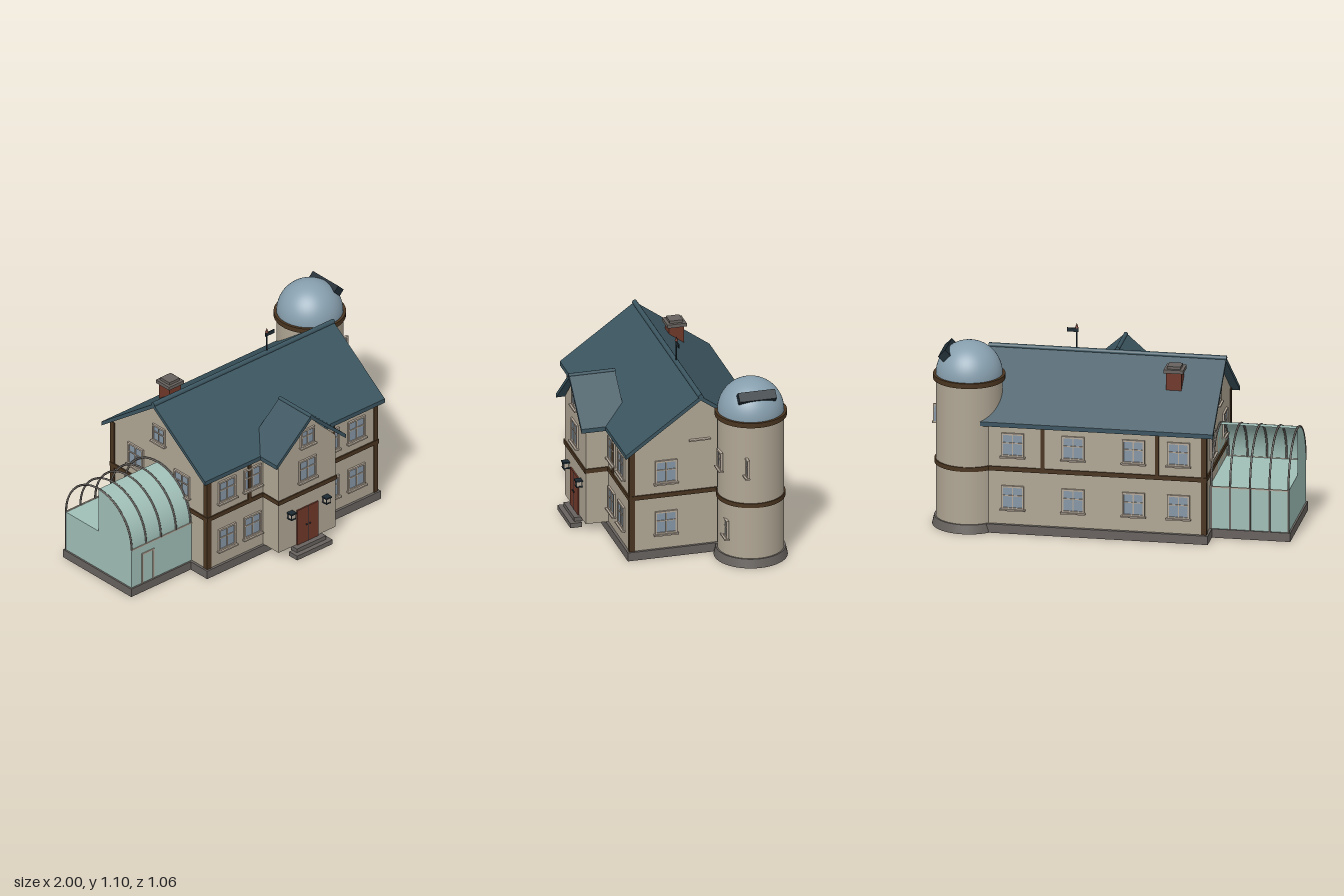
import * as THREE from 'three';

const material = (name, color, side = THREE.FrontSide) => {
  const m = new THREE.MeshStandardMaterial({ color, side });
  m.name = name;
  return m;
};
const plaster = material('plaster', 0xb0a694);
const slate = material('roof slate', 0x3b5560);
const timber = material('timber', 0x4a3520);
const stone = material('stone', 0x67625e);
const brick = material('red brown', 0x70382a);
const pane = material('window pane', 0x8697a6);
const trim = material('window trim', 0xb5a99a);
const glass = material('greenhouse glass', 0xa0bfb7, THREE.DoubleSide);
const domeMetal = material('dome metal', 0x879fae);
const iron = material('dark iron', 0x1d2a32);

function add(parent, name, geometry, mat, x = 0, y = 0, z = 0) {
  const mesh = new THREE.Mesh(geometry, mat);
  mesh.name = name;
  mesh.position.set(x, y, z);
  parent.add(mesh);
  return mesh;
}

// Box given by its minimum and maximum on each axis
function box(parent, name, mat, x0, x1, y0, y1, z0, z1) {
  return add(parent, name, new THREE.BoxGeometry(x1 - x0, y1 - y0, z1 - z0), mat,
    (x0 + x1) / 2, (y0 + y1) / 2, (z0 + z1) / 2);
}

function cylinder(parent, name, mat, rTop, rBottom, y0, y1, x, z, sides = 48) {
  return add(parent, name, new THREE.CylinderGeometry(rTop, rBottom, y1 - y0, sides), mat, x, (y0 + y1) / 2, z);
}

// Polygon in x,y pushed along z
function prism(points, depth) {
  const shape = new THREE.Shape(points.map(([x, y]) => new THREE.Vector2(x, y)));
  return new THREE.ExtrudeGeometry(shape, { depth, bevelEnabled: false });
}

// Gabled roof sheet with its ridge along z
function roofSheet(half, eave, apex, thick, depth) {
  return prism([[-half, eave], [0, apex - thick], [half, eave],
    [half, eave + thick], [0, apex], [-half, eave + thick]], depth);
}

// Paned window on a wall; y is the lower edge, turn is the wall's direction
function windowUnit(parent, x, y, z, turn = 0, w = 0.125, h = 0.135) {
  const g = new THREE.Group();
  g.name = 'window';
  g.position.set(x, y, z);
  g.rotation.y = turn;
  parent.add(g);
  const a = w / 2, t = 0.01, d = 0.011;
  box(g, 'pane', pane, -a + t / 2, a - t / 2, t / 2, h - t / 2, -0.004, 0.004);
  for (const s of [-1, 1]) box(g, 'frameSide', trim, s * (a - t / 2) - t / 2, s * (a - t / 2) + t / 2, 0, h, -0.004, d);
  box(g, 'frameTop', trim, -a, a, h - t, h, -0.004, d);
  box(g, 'frameBottom', trim, -a, a, 0, t, -0.004, d);
  box(g, 'mullion', trim, -0.003, 0.003, t, h - t, 0, d - 0.002);
  box(g, 'crossBar', trim, -a + t, a - t, h * 0.58 - 0.003, h * 0.58 + 0.003, 0, d - 0.002);
  box(g, 'sill', trim, -a - 0.007, a + 0.007, -0.007, 0.001, -0.004, 0.022);
}

function buildHouse(root) {
  const g = new THREE.Group();
  g.name = 'house';
  root.add(g);
  box(g, 'foundation', stone, -0.565, 0.705, 0, 0.05, -0.475, 0.35);
  box(g, 'walls', plaster, -0.55, 0.69, 0.05, 0.645, -0.455, 0.335);
  const gable = add(g, 'gableWalls', prism([[-0.395, 0.64], [0.395, 0.64], [0, 0.925]], 1.24), plaster, -0.55, 0, -0.06);
  gable.rotation.y = Math.PI / 2;
  const roof = add(g, 'mainRoof', roofSheet(0.425, 0.615, 0.945, 0.025, 1.315), slate, -0.595, 0, -0.06);
  roof.rotation.y = Math.PI / 2;
  const ridge = add(g, 'ridgeCap', new THREE.CylinderGeometry(0.014, 0.014, 1.32, 12), slate, 0.0625, 0.942, -0.06);
  ridge.rotation.z = Math.PI / 2;

  // Timber frame
  box(g, 'floorBand', timber, -0.558, 0.698, 0.355, 0.38, -0.463, 0.343);
  for (const x of [-0.54, 0.68])
    for (const z of [-0.443, 0.323]) box(g, 'cornerPost', timber, x - 0.015, x + 0.015, 0.05, 0.64, z - 0.016, z + 0.016);
  for (const x of [-0.245, 0.365]) box(g, 'frontPost', timber, x - 0.011, x + 0.011, 0.38, 0.63, 0.33, 0.342);
  for (const x of [-0.28, 0.355]) box(g, 'backPost', timber, x - 0.011, x + 0.011, 0.38, 0.63, -0.462, -0.45);

  // Windows on both floors
  for (const y of [0.137, 0.44]) {
    for (const x of [-0.41, -0.225, 0.345, 0.535]) windowUnit(g, x, y, 0.335);
    for (const x of [-0.4, -0.15, 0.185, 0.52]) windowUnit(g, x, y, -0.455, Math.PI);
    windowUnit(g, 0.69, y, 0.13, Math.PI / 2);
  }
  for (const z of [-0.25, 0.13]) windowUnit(g, -0.55, 0.44, z, -Math.PI / 2);
  windowUnit(g, -0.55, 0.68, -0.06, -Math.PI / 2, 0.1, 0.105);
  box(g, 'gableSill', trim, 0.685, 0.71, 0.674, 0.681, -0.12, 0);

  // Chimney
  box(g, 'chimney', brick, -0.38, -0.295, 0.7, 0.91, -0.255, -0.17);
  box(g, 'chimneyCap', stone, -0.392, -0.283, 0.905, 0.925, -0.267, -0.158);
  box(g, 'chimneyPot', stone, -0.375, -0.3, 0.925, 0.94, -0.25, -0.175);

  // Weather vane
  cylinder(g, 'vanePole', iron, 0.004, 0.004, 0.94, 1.075, 0.235, -0.06, 8);
  cylinder(g, 'vaneTip', brick, 0, 0.01, 1.068, 1.096, 0.235, -0.06, 8);
  box(g, 'vaneFlag', iron, 0.225, 0.29, 1.045, 1.067, -0.063, -0.057);
}

function buildEntrance(root) {
  const g = new THREE.Group();
  g.name = 'entranceBay';
  g.position.x = 0.0625;
  root.add(g);
  box(g, 'bayWalls', plaster, -0.2075, 0.2075, 0.05, 0.64, 0.3, 0.465);
  add(g, 'bayGable', prism([[-0.2075, 0.638], [0.2075, 0.638], [0, 0.842]], 0.165), plaster, 0, 0, 0.3);
  add(g, 'bayRoof', roofSheet(0.2525, 0.615, 0.863, 0.025, 0.26), slate, 0, 0, 0.242);
  const cap = add(g, 'bayRidge', new THREE.CylinderGeometry(0.011, 0.011, 0.265, 12), slate, 0, 0.856, 0.3725);
  cap.rotation.x = Math.PI / 2;
  box(g, 'bayBand', timber, -0.214, 0.214, 0.355, 0.38, 0.3, 0.472);
  windowUnit(g, 0, 0.44, 0.465);
  windowUnit(g, 0, 0.66, 0.465, 0, 0.1, 0.105);

  // Double door
  box(g, 'door', brick, -0.077, 0.077, 0.05, 0.27, 0.46, 0.473);
  box(g, 'doorGap', iron, -0.0015, 0.0015, 0.05, 0.27, 0.47, 0.4745);
  for (const s of [-1, 1]) add(g, 'doorKnob', new THREE.SphereGeometry(0.005, 10, 8), iron, s * 0.012, 0.16, 0.478);
  box(g, 'lowerStep', stone, -0.13, 0.13, 0, 0.027, 0.465, 0.53);
  box(g, 'upperStep', stone, -0.107, 0.107, 0.025, 0.05, 0.455, 0.502);

  // Wall lamps
  for (const s of [-1, 1]) {
    const x = s * 0.128;
    box(g, 'lampTop', iron, x - 0.02, x + 0.02, 0.277, 0.285, 0.463, 0.504);
    box(g, 'lampGlass', trim, x - 0.014, x + 0.014, 0.25, 0.278, 0.47, 0.498);
    box(g, 'lampBase', iron, x - 0.017, x + 0.017, 0.244, 0.251, 0.463, 0.501);
    for (const dx of [-0.015, 0.015])
      for (const z of [0.47, 0.498]) box(g, 'lampBar', iron, x + dx - 0.002, x + dx + 0.002, 0.25, 0.278, z - 0.002, z + 0.002);
  }
}

function buildTower(root) {
  const g = new THREE.Group();
  g.name = 'observatoryTower';
  root.add(g);
  const x = 0.785, z = -0.325;
  cylinder(g, 'towerBase', stone, 0.192, 0.203, 0, 0.05, x, z);
  cylinder(g, 'towerWall', plaster, 0.183, 0.183, 0.05, 0.84, x, z);
  cylinder(g, 'towerBand', timber, 0.19, 0.19, 0.355, 0.38, x, z);
  cylinder(g, 'towerCornice', timber, 0.198, 0.198, 0.837, 0.865, x, z);
  add(g, 'dome', new THREE.SphereGeometry(0.183, 48, 20, 0, Math.PI * 2, 0, Math.PI / 2), domeMetal, x, 0.865, z);
  const hatch = add(g, 'domeHatch', new THREE.BoxGeometry(0.055, 0.042, 0.21), iron, 0.905, 0.988, z);
  hatch.rotation.z = -Math.PI / 4;
  windowUnit(g, 0.82, 0.547, -0.143, 0, 0.08, 0.105);
  windowUnit(g, 0.957, 0.547, -0.256, 0, 0.08, 0.105);
  windowUnit(g, 0.866, 0.158, -0.163, 0, 0.08, 0.105);
}

function buildGreenhouse(root) {
  const g = new THREE.Group();
  g.name = 'greenhouse';
  root.add(g);
  const z = -0.065, r = 0.27, spring = 0.29;
  box(g, 'greenhouseBase', stone, -1, -0.55, 0, 0.05, -0.345, 0.215);
  box(g, 'glassWalls', glass, -0.99, -0.55, 0.05, spring, z - r, z + r);
  const vault = new THREE.CylinderGeometry(r, r, 0.44, 24, 1, false, 0, Math.PI / 2);
  add(g, 'glassVault', vault, glass, -0.77, spring, z).rotation.z = Math.PI / 2;

  // Arched ribs with posts below
  for (const x of [-0.988, -0.883, -0.775, -0.665, -0.56]) {
    const rib = add(g, 'archRib', new THREE.TorusGeometry(r, 0.006, 6, 28, Math.PI), stone, x, spring, z);
    rib.rotation.y = Math.PI / 2;
    box(g, 'ribPost', stone, x - 0.005, x + 0.005, 0.05, spring, z - r - 0.005, z - r + 0.003);
  }
  box(g, 'backRail', trim, -0.99, -0.55, spring - 0.004, spring + 0.004, z - r - 0.004, z - r + 0.004);
  box(g, 'frontRail', trim, -0.99, -0.55, spring - 0.004, spring + 0.004, z + r - 0.004, z + r + 0.004);

  // Garden door frame
  for (const x of [-0.91, -0.83]) box(g, 'doorJamb', trim, x - 0.005, x + 0.005, 0.05, 0.24, z + r - 0.003, z + r + 0.005);
  box(g, 'doorHead', trim, -0.915, -0.825, 0.23, 0.24, z + r - 0.003, z + r + 0.005);
}

export function createModel() {
  const root = new THREE.Group();
  root.name = 'observatoryHouse';
  buildHouse(root);
  buildEntrance(root);
  buildTower(root);
  buildGreenhouse(root);
  return root;
}
